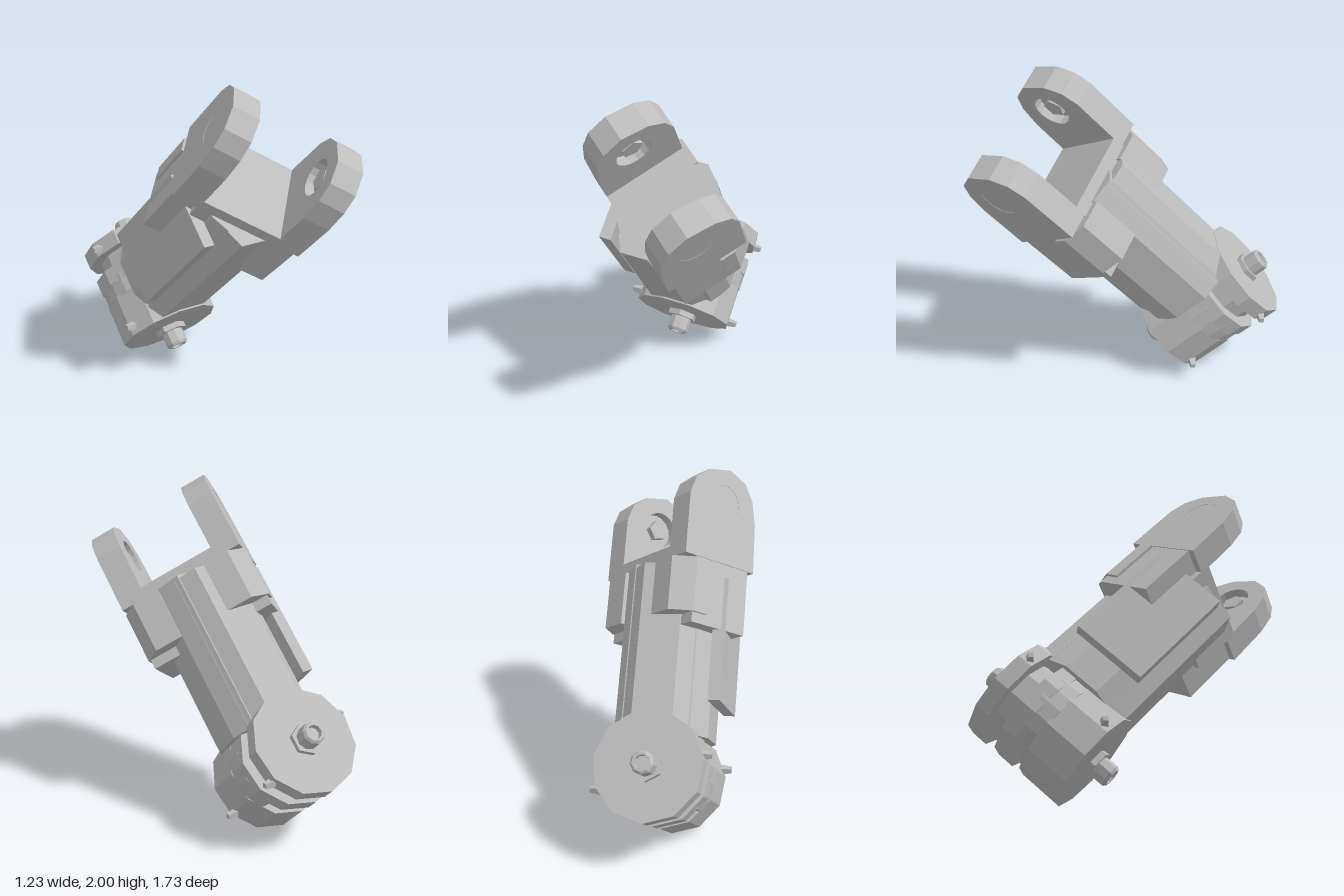
import * as THREE from 'three';

export function createModel() {
  const model = new THREE.Group();
  model.name = 'robotArmLink';
  const grey = new THREE.MeshStandardMaterial({ color: 0xbcbcbc, flatShading: true });
  grey.name = 'machined grey';

  // Tilted arm frame: x = arm side, y = along the arm, z = lower hinge axis
  const arm = new THREE.Group();
  arm.name = 'arm';
  const along = new THREE.Vector3(0.26, 0.745, 0.615).normalize();
  const side = new THREE.Vector3().crossVectors(along, new THREE.Vector3(-0.13, 0.66, -0.74)).normalize();
  const hinge = new THREE.Vector3().crossVectors(side, along);
  arm.quaternion.setFromRotationMatrix(new THREE.Matrix4().makeBasis(side, along, hinge));
  arm.position.set(-0.25, 0.44, -0.41);
  model.add(arm);

  // Fork frame: twisted about the arm, x = upper hinge axis
  const fork = new THREE.Group();
  fork.name = 'fork';
  fork.rotation.y = -39 * Math.PI / 180;
  arm.add(fork);

  const add = (parent, name, geometry) => {
    const mesh = new THREE.Mesh(geometry, grey);
    mesh.name = name;
    parent.add(mesh);
    return mesh;
  };
  const box = (parent, name, [x0, x1], [y0, y1], [z0, z1]) =>
    add(parent, name, new THREE.BoxGeometry(x1 - x0, y1 - y0, z1 - z0)
      .translate((x0 + x1) / 2, (y0 + y1) / 2, (z0 + z1) / 2));
  const disc = (parent, name, r, z0, z1, sides = 11) =>
    add(parent, name, new THREE.CylinderGeometry(r, r, z1 - z0, sides)
      .rotateX(Math.PI / 2).translate(0, 0, (z0 + z1) / 2));
  const polygon = (points) => new THREE.Shape(points.map(([x, y]) => new THREE.Vector2(x, y)));
  const extrude = (shape, depth) =>
    new THREE.ExtrudeGeometry(shape, { depth, bevelEnabled: false, curveSegments: 8 });
  // Cross-section in x, z swept along the arm
  const sweep = (parent, name, points, y0, y1) =>
    add(parent, name, extrude(polygon(points.map(([x, z]) => [x, -z])), y1 - y0)
      .rotateX(-Math.PI / 2).translate(0, y0, 0));

  // Lower hinge drum, cut away at the far end below its flange
  disc(arm, 'hingeDrum', 0.31, -0.32, -0.05);
  const cutDrum = new THREE.Shape().absarc(0, 0, 0.305, -0.7, Math.PI + 0.7, false);
  add(arm, 'cutDrum', extrude(cutDrum, 0.13).translate(0, 0, -0.06));
  disc(arm, 'drumFlange', 0.315, 0.03, 0.13);
  disc(arm, 'hingeCore', 0.24, 0.12, 0.24);
  disc(arm, 'backPlate', 0.32, 0.23, 0.325);

  // Hinge bolts with hex collars and sunken heads
  for (const dir of [-1, 1]) {
    const bolt = new THREE.Group();
    bolt.name = dir < 0 ? 'frontBolt' : 'backBolt';
    bolt.position.z = dir * 0.32;
    if (dir < 0) bolt.rotation.y = Math.PI;
    disc(bolt, 'boltCollar', 0.095, 0, 0.035, 6);
    const head = [[0.068, 0], [0.068, 0.115], [0.055, 0.13], [0.042, 0.13], [0.038, 0.1], [0, 0.1]];
    add(bolt, 'boltHead', new THREE.LatheGeometry(
      head.map(([r, y]) => new THREE.Vector2(r, y)), 9).rotateX(Math.PI / 2));
    arm.add(bolt);
    // Small wedge lugs on the drum rim
    for (const [x, y] of [[0.32, 0.08], [-0.305, -0.14]]) {
      const lug = add(arm, 'rimLug', new THREE.CylinderGeometry(0.02, 0.03, 0.06, 4));
      lug.position.set(x, y, dir * 0.27);
      lug.rotation.z = x > 0 ? -Math.PI / 2 : Math.PI / 2;
    }
  }

  // Faceted arm body with raised spines and a plate along one side
  sweep(arm, 'armBody', [[0.28, -0.11], [0.28, 0.11], [0.2, 0.24], [-0.2, 0.24],
    [-0.28, 0.11], [-0.28, -0.11], [-0.2, -0.24], [0.2, -0.24]], 0.2, 1.2);
  sweep(arm, 'backSpine', [[0.22, 0.21], [0.12, 0.322], [-0.12, 0.322], [-0.22, 0.21]], 0.2, 1.18);
  sweep(arm, 'frontSpine', [[-0.2, -0.21], [-0.1, -0.31], [0.18, -0.31], [0.23, -0.21]], 0.2, 1.2);
  box(arm, 'sidePlate', [0.285, 0.355], [0.4, 1.12], [-0.24, 0.215]);

  // Fork floor between the ears
  box(fork, 'forkFloor', [-0.25, 0.25], [0.92, 1.27], [-0.25, 0.25]);

  // Ears: rounded plates with a recessed nut on the inner side
  for (const dir of [-1, 1]) {
    const ear = new THREE.Group();
    ear.name = dir > 0 ? 'rightEar' : 'leftEar';
    fork.add(ear);
    const outline = polygon([[-0.25, 1.2], [0.25, 1.2], [0.25, 1.57], [0.215, 1.67], [0.13, 1.745],
      [-0.03, 1.785], [-0.15, 1.735], [-0.21, 1.64], [-0.24, 1.5]]);
    outline.holes.push(new THREE.Path().absarc(0, 1.57, 0.11, 0, Math.PI * 2, true));
    const inner = dir > 0 ? 0.24 : -0.4;
    add(ear, 'earPlate', extrude(outline, 0.16).rotateY(-Math.PI / 2).translate(inner + 0.16, 0, 0));
    const cap = (name, r, x0, x1, sides) => add(ear, name,
      new THREE.CylinderGeometry(r, r, x1 - x0, sides).rotateZ(Math.PI / 2)
        .translate(dir * (x0 + x1) / 2, 1.57, 0));
    cap('pivotCap', 0.118, 0.3, 0.398, 12);
    cap('pivotNut', 0.065, 0.26, 0.31, 5);
    // Ear root and the sloped shoulder block behind it
    const range = (a, b) => (dir > 0 ? [a, b] : [-b, -a]);
    box(ear, 'earRoot', range(0.2, 0.395), [0.81, 1.21], [-0.21, 0.17]);
    sweep(ear, 'shoulderBlock', [[0.15, 0.08], [0.41, 0.08], [0.41, 0.17], [0.32, 0.285], [0.15, 0.285]]
      .map(([x, z]) => [dir * x, z]), 0.87, 1.19);
  }
  return model;
}
